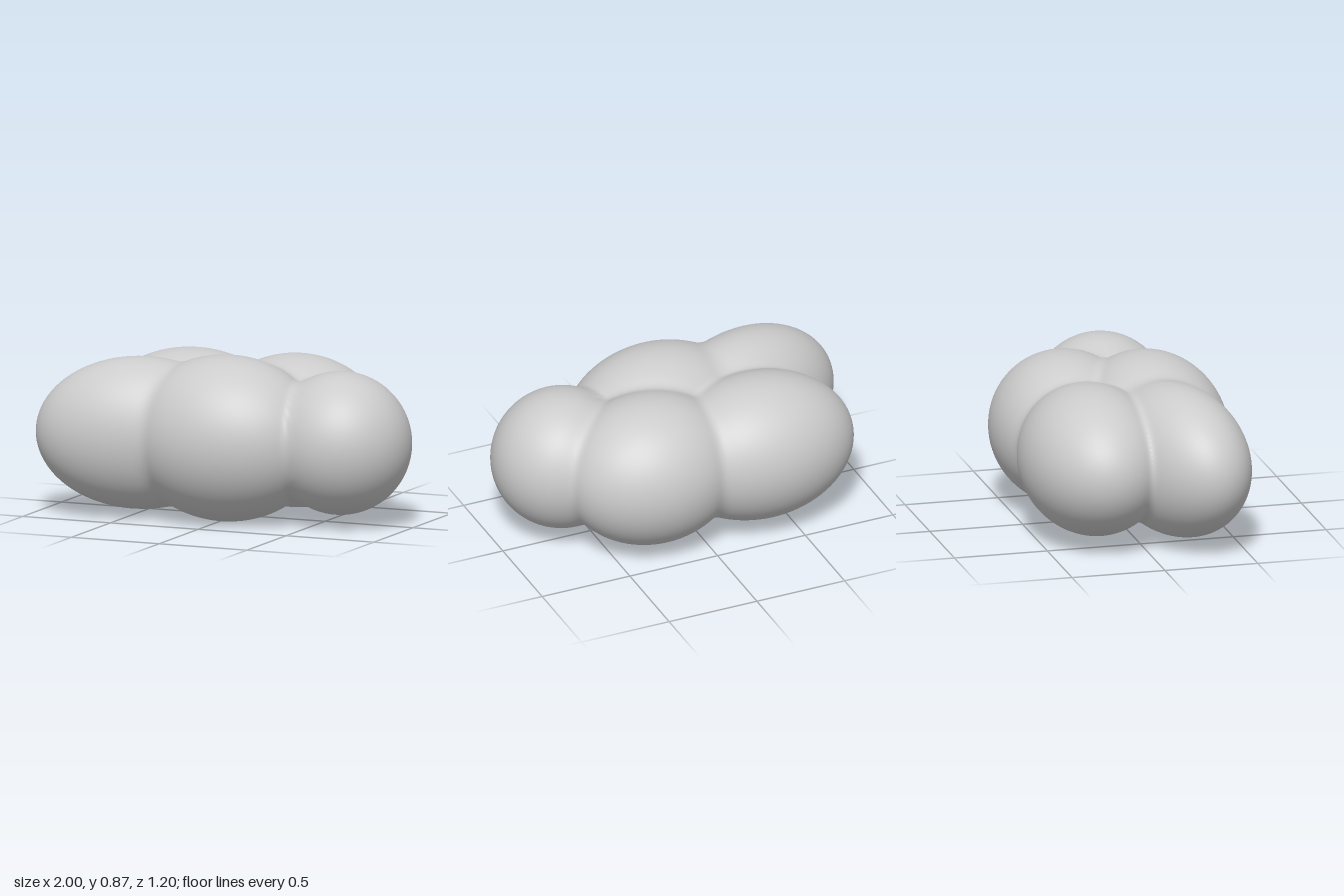
import * as THREE from 'three';
import { mergeVertices } from 'three/addons/utils/BufferGeometryUtils.js';

// Puffs of the cloud: centre x/z, radii, yaw
const MID = 0.435;
const PUFFS = [
  { c: [0.02, 0.18], r: [0.53, 0.435, 0.417], yaw: 0 },      // front middle
  { c: [0.625, 0.085], r: [0.375, 0.375, 0.365], yaw: 0 },   // end ball
  { c: [0.25, -0.2], r: [0.48, 0.402, 0.4], yaw: 0 },        // back, +x side
  { c: [-0.35, -0.22], r: [0.525, 0.39, 0.38], yaw: 0 },     // back, -x side
  { c: [-0.46, 0.2], r: [0.55, 0.4, 0.327], yaw: 0.28 },     // front, -x side
];
const FILLET = 0.035;

// Approximate signed distance to one ellipsoid
function puffDistance(p, { c, r, yaw }) {
  const dx = p.x - c[0], dz = p.z - c[1];
  const cos = Math.cos(yaw), sin = Math.sin(yaw);
  const x = (dx * cos - dz * sin) / r[0];
  const y = p.y / r[1];
  const z = (dx * sin + dz * cos) / r[2];
  const k0 = Math.hypot(x, y, z);
  const k1 = Math.hypot(x / r[0], y / r[1], z / r[2]);
  return k1 < 1e-6 ? -Math.min(...r) : k0 * (k0 - 1) / k1;
}

// Union of the puffs with a small rounded fillet in the creases
function cloudDistance(p) {
  let d = Infinity;
  for (const puff of PUFFS) {
    const e = puffDistance(p, puff);
    if (d === Infinity) { d = e; continue; }
    const h = Math.max(FILLET - Math.abs(d - e), 0) / FILLET;
    d = Math.min(d, e) - h * h * FILLET / 4;
  }
  return d;
}

// Shrink a fine sphere along its rays until it meets the cloud surface
function cloudGeometry() {
  let geometry = new THREE.IcosahedronGeometry(1, 40);
  geometry.deleteAttribute('normal');
  geometry.deleteAttribute('uv');
  geometry = mergeVertices(geometry, 1e-4);
  const pos = geometry.attributes.position;
  const ray = new THREE.Vector3(), p = new THREE.Vector3();
  const at = (t) => cloudDistance(p.copy(ray).multiplyScalar(t));
  for (let i = 0; i < pos.count; i++) {
    ray.fromBufferAttribute(pos, i).multiply(new THREE.Vector3(1.1, 0.55, 0.75));
    let outer = 1.3;
    while (outer > 0.05 && at(outer - 0.02) > 0) outer -= 0.02;
    let inner = outer - 0.02;
    for (let k = 0; k < 14; k++) {
      const m = (inner + outer) / 2;
      if (at(m) > 0) outer = m; else inner = m;
    }
    p.copy(ray).multiplyScalar(outer);
    pos.setXYZ(i, p.x, p.y + MID, p.z);
  }
  geometry.computeVertexNormals();
  return geometry;
}

export function createModel() {
  const group = new THREE.Group();
  group.name = 'cloud';
  const puffs = new THREE.Mesh(
    cloudGeometry(),
    new THREE.MeshStandardMaterial({ color: 0xcccccc })
  );
  puffs.name = 'cloudPuffs';
  group.add(puffs);
  return group;
}
